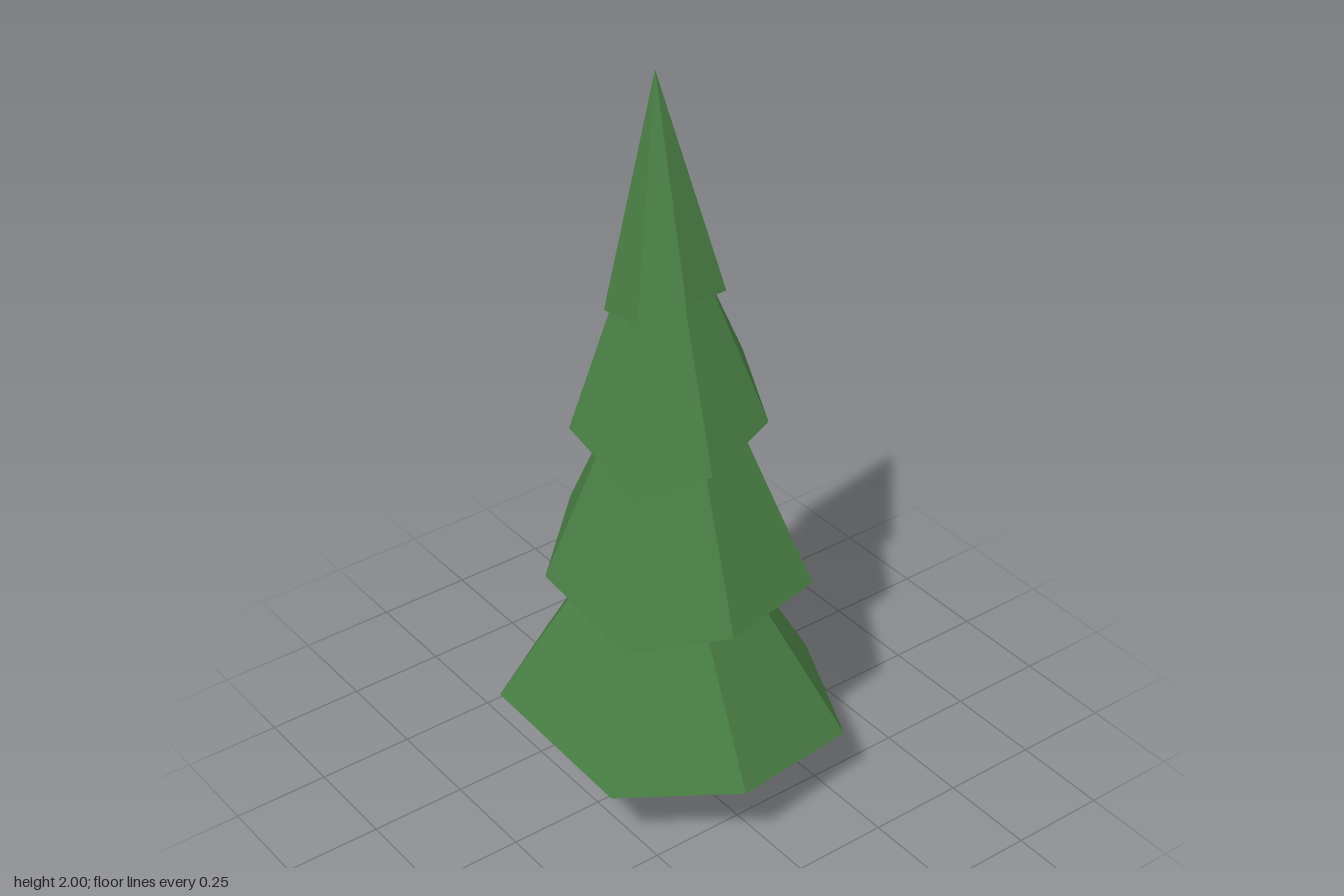
import * as THREE from 'three';

// Each tier: seven rim corners [x, y, z] running back, right, front, left;
// then the upper centre and how much the rim shrinks on the way up.
const TIERS = [
  {
    name: 'bottomTier', top: [0.025, 0.72, 0.045], shrink: 0.36, base: [0, 0],
    rim: [[0.02, 0.205, -0.405], [0.34, 0.19, -0.265], [0.4, 0.22, 0.095], [0.2, 0.2, 0.35],
      [-0.2, 0.29, 0.4], [-0.4, 0.26, 0.115], [-0.305, 0.23, -0.24]],
  },
  {
    name: 'lowerMiddleTier', top: [0.018, 1.13, 0.026], shrink: 0.4, base: [0, 0.01],
    rim: [[-0.025, 0.775, -0.272], [0.27, 0.64, -0.205], [0.32, 0.63, 0.075], [0.165, 0.58, 0.275],
      [-0.135, 0.645, 0.297], [-0.315, 0.7, 0.093], [-0.22, 0.65, -0.215]],
  },
  {
    name: 'upperMiddleTier', top: [0.03, 1.51, 0.056], shrink: 0.37, base: [0.02, 0.03],
    rim: [[0.01, 1.18, -0.187], [0.2, 1.1, -0.115], [0.24, 1.045, 0.08], [0.13, 0.98, 0.22],
      [-0.09, 1.075, 0.247], [-0.195, 1.08, 0.07], [-0.155, 1.08, -0.12]],
  },
  {
    name: 'topTier', top: [0.048, 2, 0.095], shrink: 0, base: [0.04, 0.08],
    rim: [[0.04, 1.475, -0.07], [0.157, 1.465, -0.02], [0.18, 1.48, 0.11], [0.115, 1.43, 0.197],
      [-0.015, 1.41, 0.195], [-0.1, 1.45, 0.105], [-0.065, 1.45, -0.035]],
  },
];

// Triangles closing the uneven underside of a tier
const UNDERSIDE = [[1, 2, 3], [4, 5, 6], [6, 0, 1], [1, 3, 4], [1, 4, 6]];

function tierGeometry({ rim, top, shrink, base }) {
  const upper = rim.map(([x, , z]) => [
    top[0] + (x - base[0]) * shrink, top[1], top[2] + (z - base[1]) * shrink,
  ]);
  const points = [];
  const tri = (...corners) => corners.forEach((c) => points.push(...c));
  rim.forEach((corner, i) => {
    const j = (i + 1) % rim.length;
    tri(corner, upper[j], rim[j]);
    if (shrink > 0) tri(corner, upper[i], upper[j]);
  });
  UNDERSIDE.forEach((t) => tri(...t.map((i) => rim[i])));
  const geometry = new THREE.BufferGeometry();
  geometry.setAttribute('position', new THREE.Float32BufferAttribute(points, 3));
  geometry.computeVertexNormals();
  return geometry;
}

export function createModel() {
  const tree = new THREE.Group();
  tree.name = 'pineTree';
  const needles = new THREE.MeshStandardMaterial({ color: 0x4a8045, flatShading: true });
  const bark = new THREE.MeshStandardMaterial({ color: 0x75503a, flatShading: true });

  // Foliage, each tier reaching up inside the next
  for (const tier of TIERS) {
    const mesh = new THREE.Mesh(tierGeometry(tier), needles);
    mesh.name = tier.name;
    tree.add(mesh);
  }

  // Seven-sided trunk
  const trunk = new THREE.Mesh(new THREE.CylinderGeometry(0.095, 0.1, 0.3, 7), bark);
  trunk.name = 'trunk';
  trunk.position.set(0.008, 0.15, -0.033);
  trunk.rotation.y = Math.PI;
  tree.add(trunk);

  return tree;
}
